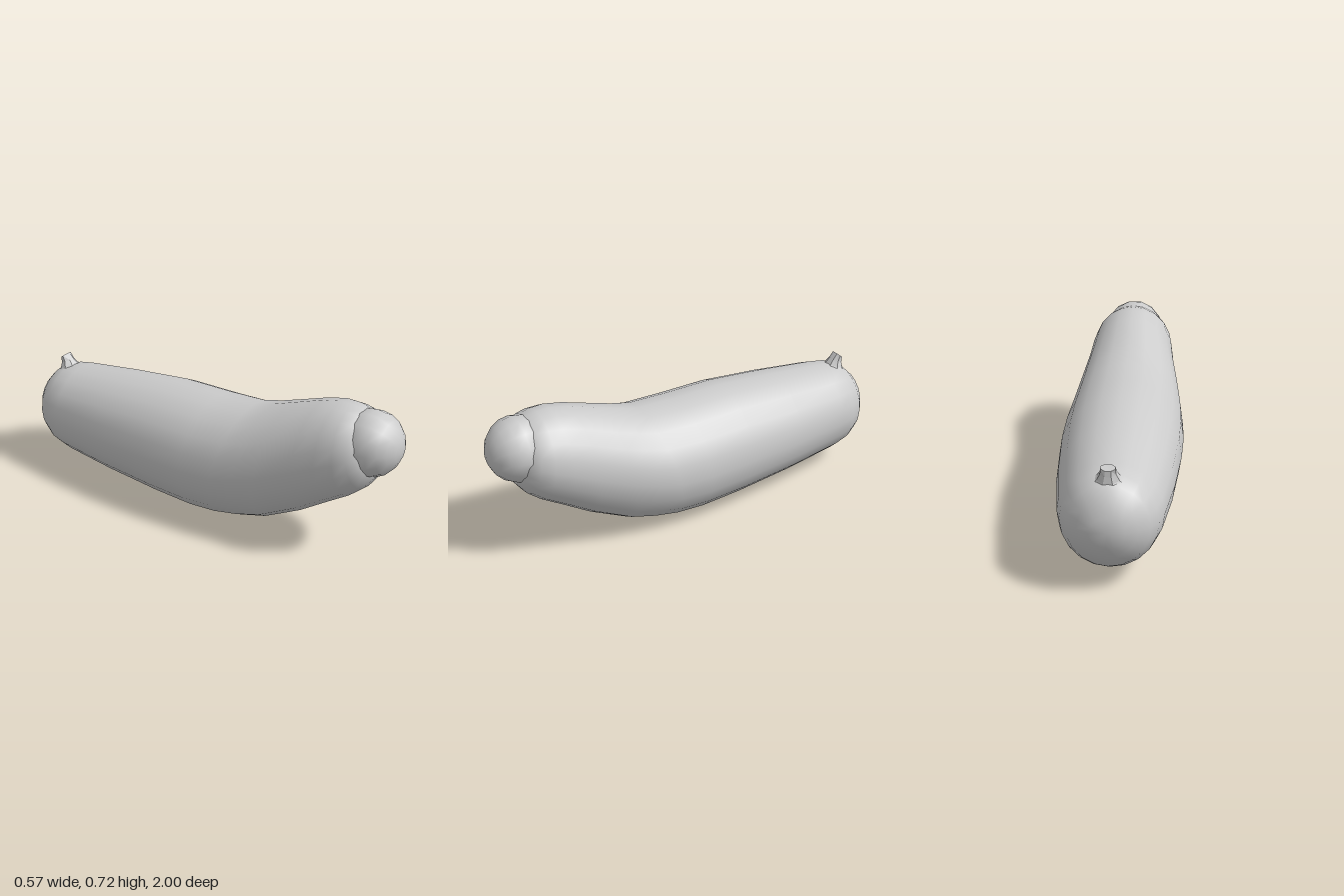
import * as THREE from 'three';
import { mergeVertices } from 'three/addons/utils/BufferGeometryUtils.js';

const material = new THREE.MeshStandardMaterial({ color: 0xcccccc });

// Skin elliptical rings, each [top z, top y, bottom z, bottom y, half width], ordered back to front.
function loft(rings, sides, turn = 0) {
  const positions = [], index = [];
  for (const [zt, yt, zb, yb, w] of rings) {
    for (let j = 0; j < sides; j++) {
      const a = (j / sides) * Math.PI * 2 + turn;
      const t = (1 + Math.sin(a)) / 2;
      positions.push(w * Math.cos(a), yb + (yt - yb) * t, zb + (zt - zb) * t);
    }
  }
  for (let i = 0; i < rings.length - 1; i++) {
    for (let j = 0; j < sides; j++) {
      const k = (j + 1) % sides;
      const a = i * sides + j, b = i * sides + k, c = b + sides, d = a + sides;
      index.push(a, b, d, b, c, d);
    }
  }
  let geometry = new THREE.BufferGeometry();
  geometry.setAttribute('position', new THREE.Float32BufferAttribute(positions, 3));
  geometry.setIndex(index);
  geometry = mergeVertices(geometry, 1e-5);
  geometry.computeVertexNormals();
  return geometry;
}

function add(group, name, geometry) {
  const mesh = new THREE.Mesh(geometry, material);
  mesh.name = name;
  group.add(mesh);
  return mesh;
}

export function createModel() {
  const model = new THREE.Group();
  model.name = 'curvedBody';

  // Long sausage body, bending upward toward the front
  const body = [
    [-1.0, 0.3, -1.0, 0.3, 0],
    [-0.99, 0.36, -0.99, 0.23, 0.075],
    [-0.965, 0.43, -0.965, 0.17, 0.125],
    [-0.92, 0.475, -0.92, 0.11, 0.175],
    [-0.86, 0.5, -0.86, 0.075, 0.205],
    [-0.78, 0.513, -0.78, 0.06, 0.225],
    [-0.5, 0.545, -0.5, 0.033, 0.26],
    [-0.2, 0.573, -0.2, 0.01, 0.281],
    [0.05, 0.574, 0, 0.002, 0.285],
    [0.25, 0.583, 0.13, 0.008, 0.277],
    [0.35, 0.61, 0.25, 0.028, 0.265],
    [0.45, 0.645, 0.37, 0.06, 0.25],
    [0.6, 0.698, 0.55, 0.15, 0.222],
    [0.69, 0.718, 0.68, 0.235, 0.21],
    [0.75, 0.717, 0.79, 0.305, 0.197],
    [0.8, 0.708, 0.85, 0.355, 0.175],
    [0.84, 0.68, 0.89, 0.41, 0.14],
    [0.86, 0.63, 0.9, 0.46, 0.08],
    [0.88, 0.55, 0.88, 0.55, 0],
  ];
  add(model, 'body', loft(body, 20));

  // Rounded tip set into the raised front end
  const tip = add(model, 'roundTip', new THREE.SphereGeometry(0.15, 14, 10));
  tip.scale.set(0.99, 0.97, 1);
  tip.rotation.x = Math.PI / 2;
  tip.position.set(0, 0.565, 0.85);

  // Small four-sided stub on top of the back end, widening into the body
  const stub = [
    [-0.925, 0.44, -0.82, 0.48, 0.085],
    [-0.92, 0.475, -0.84, 0.505, 0.05],
    [-0.915, 0.505, -0.86, 0.525, 0.036],
    [-0.912, 0.53, -0.885, 0.552, 0.032],
    [-0.898, 0.541, -0.898, 0.541, 0],
  ];
  const geometry = loft(stub, 8, Math.PI / 8).toNonIndexed();
  geometry.computeVertexNormals();
  add(model, 'stub', geometry);

  return model;
}
